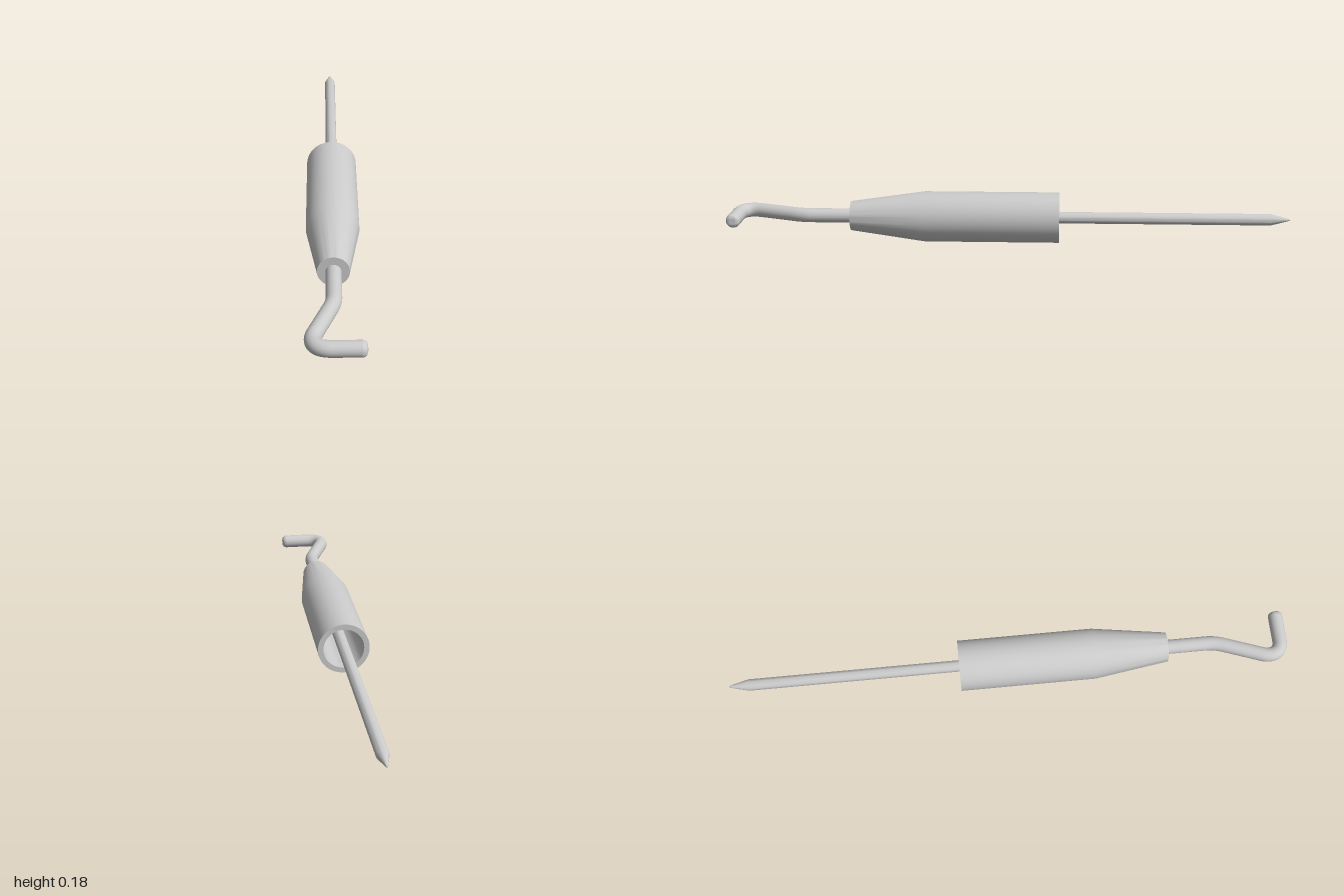
import * as THREE from 'three';
import { toCreasedNormals } from 'three/addons/utils/BufferGeometryUtils.js';

const material = new THREE.MeshStandardMaterial({ color: 0xcccccc });
const AXIS_X = -0.003, AXIS_Y = 0.091, WIRE = 0.0255;

// Turned solid from [radius, height] pairs, with sharp edges kept
function turned(profile, segments) {
  const points = profile.map(([r, h]) => new THREE.Vector2(r, h));
  return toCreasedNormals(new THREE.LatheGeometry(points, segments), 0.4);
}

export function createModel() {
  const model = new THREE.Group();
  const add = (name, geometry, x = AXIS_X, z = 0) => {
    const mesh = new THREE.Mesh(geometry, material);
    mesh.name = name;
    mesh.position.set(x, AXIS_Y, z);
    model.add(mesh);
  };

  // Sleeve: hollow from the back, tapering to a flat nose
  add('sleeve', turned([
    [0, 0.28], [0.071, 0.28], [0.071, -0.18], [0.09, -0.18],
    [0.09, 0.3], [0.0525, 0.565], [0, 0.565],
  ], 48).rotateX(Math.PI / 2));

  // Straight shaft with a pointed tip
  add('spike', turned([
    [0, -1], [0.003, -0.999], [0.0205, -0.93], [0.0205, 0.3],
  ], 24).rotateX(Math.PI / 2));

  // Bent wire: straight, swung to the right, then hooked to the left
  const p = (x, z) => new THREE.Vector3(x, 0, z);
  const path = new THREE.CurvePath();
  path.add(new THREE.LineCurve3(p(0, 0.54), p(0, 0.71)));
  path.add(new THREE.QuadraticBezierCurve3(p(0, 0.71), p(0, 0.74), p(-0.013, 0.775)));
  path.add(new THREE.LineCurve3(p(-0.013, 0.775), p(-0.058, 0.899)));
  path.add(new THREE.CubicBezierCurve3(p(-0.058, 0.899), p(-0.075, 0.945), p(-0.055, 0.9745), p(-0.012, 0.9745)));
  path.add(new THREE.LineCurve3(p(-0.012, 0.9745), p(0.079, 0.9745)));
  add('hook', new THREE.TubeGeometry(path, 90, WIRE, 24));

  // Rounded end of the hook
  const round = 0.016, cap = [];
  for (let i = 0; i <= 6; i++) {
    const a = (i / 6) * Math.PI / 2;
    cap.push([WIRE - round + round * Math.cos(a), round * Math.sin(a)]);
  }
  cap.push([0, round]);
  add('hookEnd', turned(cap, 24).rotateZ(-Math.PI / 2), AXIS_X + 0.079, 0.9745);

  return model;
}
